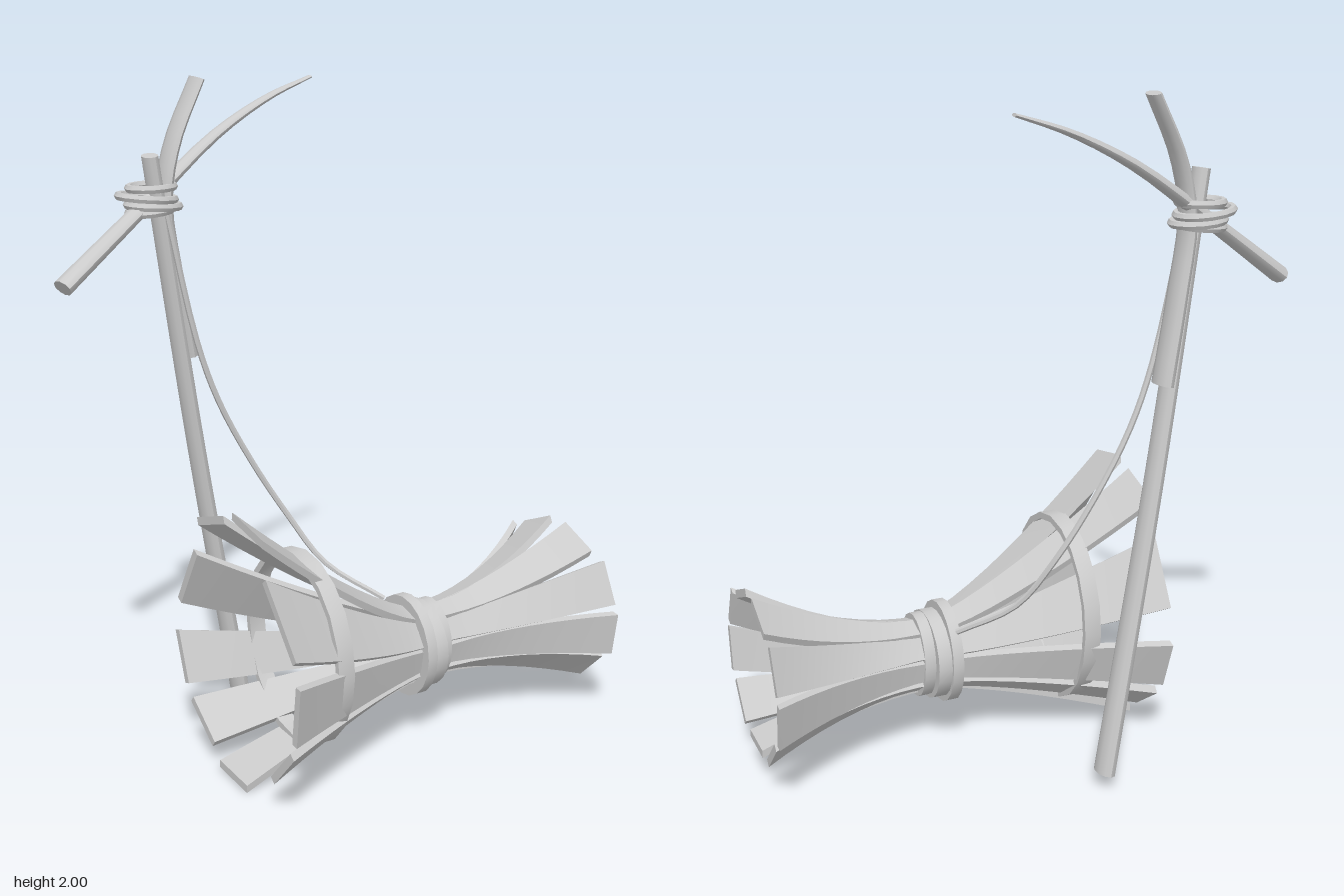
import * as THREE from 'three';
import { toCreasedNormals } from 'three/addons/utils/BufferGeometryUtils.js';

const V = (p) => new THREE.Vector3(...p);
const lerp = THREE.MathUtils.lerp;

export function createModel() {
  const model = new THREE.Group();
  const mat = new THREE.MeshStandardMaterial({ color: 0xcccccc });

  function add(name, geo, parent = model) {
    const mesh = new THREE.Mesh(toCreasedNormals(geo, 0.7), mat);
    mesh.name = name;
    parent.add(mesh);
    return mesh;
  }

  // Tapering limb along a curve; each radius pair is [along z, sideways]
  function limb(points, from, to, sides = 10, steps = 14) {
    const curve = new THREE.CatmullRomCurve3(points.map(V));
    const pos = [], idx = [];
    for (let i = 0; i <= steps; i++) {
      const t = i / steps, c = curve.getPoint(t), d = curve.getTangent(t);
      const a = V([0, 0, 1]).addScaledVector(d, -d.z).normalize();
      const b = d.clone().cross(a);
      for (let j = 0; j < sides; j++) {
        const w = (j / sides) * Math.PI * 2;
        const p = c.clone()
          .addScaledVector(a, Math.cos(w) * lerp(from[0], to[0], t))
          .addScaledVector(b, Math.sin(w) * lerp(from[1], to[1], t));
        pos.push(p.x, p.y, p.z);
        if (i < steps) {
          const k = i * sides, n = (j + 1) % sides;
          idx.push(k + j, k + n, k + sides + j, k + n, k + sides + n, k + sides + j);
        }
      }
    }
    // End caps
    const last = steps * sides;
    for (let j = 1; j < sides - 1; j++) {
      idx.push(0, j + 1, j, last, last + j, last + j + 1);
    }
    const geo = new THREE.BufferGeometry();
    geo.setAttribute('position', new THREE.Float32BufferAttribute(pos, 3));
    geo.setIndex(idx);
    geo.computeVertexNormals();
    return geo;
  }

  // Basket: nine slats flaring from a tied waist to a wide and a narrow mouth
  const basket = new THREE.Group();
  basket.name = 'basket';
  model.add(basket);
  const midZ = 0.09, waistX = 0.2, waistEnd = 0.27;
  // Slat ends at the wide mouth [z, y], from the bottom round by +z
  const wideEnds = [
    [0.066, 0.02], [0.345, 0.172], [0.422, 0.36], [0.338, 0.607], [0.172, 0.82],
    [-0.035, 0.785], [-0.188, 0.563], [-0.238, 0.285], [-0.115, 0.12],
  ];
  const wideWidths = [0.16, 0.16, 0.18, 0.24, 0.165, 0.165, 0.22, 0.165, 0.16];
  wideEnds.forEach(([wz, wy], k) => {
    const angle = THREE.MathUtils.degToRad(-90 + 40 * k);
    const ca = Math.cos(angle), sa = Math.sin(angle);
    const geo = new THREE.BoxGeometry(1, 1, 1, 20, 1, 1);
    const p = geo.attributes.position;
    for (let i = 0; i < p.count; i++) {
      const x = lerp(-0.43, 0.765, p.getX(i) + 0.5);
      let z = midZ + 0.085 * ca, y = 0.3 + 0.1 * sa, cy = 0.3, width = 0.066;
      if (x < waistX) {
        const u = (waistX - x) / 0.63, f = u ** 1.28;
        z = lerp(z, wz, f);
        y = lerp(y, wy, f);
        cy = lerp(cy, 0.4, f);
        width = lerp(width, wideWidths[k], u);
      } else if (x > waistEnd) {
        const u = (x - waistEnd) / 0.495, f = u ** 1.75;
        z = lerp(z, midZ + 0.28 * ca, f);
        y = lerp(y, 0.335 + 0.23 * sa, f);
        cy = lerp(cy, 0.335, f);
        width = lerp(width, 0.14, u);
      }
      const r = Math.hypot(y - cy, z - midZ);
      const ry = (y - cy) / r, rz = (z - midZ) / r;
      const out = p.getY(i) * 0.024, side = p.getZ(i) * width;
      p.setXYZ(i, x, y + ry * out - rz * side, z + rz * out + ry * side);
    }
    add('slat', geo, basket);
  });

  // Flat oval hoops: centre x, y, z, then radii in y and z, width and wall share
  function hoop(name, x, y, z, ry, rz, width, wall) {
    const h = width / 2, inner = 1 - wall;
    const profile = [[inner, -h], [1, -h], [1, h], [inner, h], [inner, -h]];
    const geo = new THREE.LatheGeometry(profile.map((q) => new THREE.Vector2(...q)), 20);
    geo.rotateZ(Math.PI / 2).scale(1, ry, rz).translate(x, y, z);
    add(name, geo, basket);
  }
  hoop('wideHoop', -0.213, 0.387, 0.085, 0.298, 0.258, 0.052, 0.07);
  hoop('waistBand', 0.172, 0.3, 0.088, 0.16, 0.14, 0.034, 0.22);
  hoop('waistBand', 0.211, 0.297, 0.09, 0.137, 0.135, 0.042, 0.22);
  hoop('waistBand', 0.248, 0.3, 0.09, 0.132, 0.107, 0.036, 0.2);

  // Rounded plug closing the waist
  const plug = new THREE.SphereGeometry(1, 20, 14);
  plug.scale(0.05, 0.095, 0.08).translate(0.22, 0.3, midZ);
  add('waistPlug', plug, basket);

  // Long pole, the splint tied to it and the curved cross branch
  add('pole', limb(
    [[-0.155, 0.05, -0.377], [-0.31, 0.9, -0.335], [-0.455, 1.79, -0.29]],
    [0.043, 0.028], [0.035, 0.022]));
  add('splint', limb(
    [[-0.335, 1.2, -0.328], [-0.38, 1.45, -0.315], [-0.41, 1.66, -0.303],
      [-0.38, 1.82, -0.297], [-0.3, 1.995, -0.292]],
    [0.047, 0.025], [0.042, 0.013]));
  add('crossBranch', limb(
    [[-0.757, 1.458, -0.235], [-0.46, 1.66, -0.3], [-0.2, 1.825, -0.375],
      [0, 1.92, -0.412], [0.16, 1.973, -0.43]],
    [0.036, 0.026], [0.011, 0.005]));

  // Lashing around the joint
  const lashings = [
    [-0.445, 1.7, 0.066, 0.02], [-0.46, 1.672, 0.082, -0.1],
    [-0.44, 1.648, 0.076, -0.06], [-0.45, 1.634, 0.064, 0.08],
  ];
  for (const [x, y, r, tilt] of lashings) {
    const ring = add('lashing', new THREE.TorusGeometry(r, 0.012, 6, 14).rotateX(Math.PI / 2));
    ring.position.set(x, y, -0.308);
    ring.rotation.z = tilt;
    ring.scale.z = 0.85;
  }

  // Cord hanging from the joint to the waist of the basket
  add('cord', limb(
    [[-0.42, 1.63, -0.265], [-0.335, 1.25, -0.268], [-0.27, 1.06, -0.264],
      [-0.17, 0.86, -0.25], [-0.06, 0.67, -0.217], [0.03, 0.52, -0.15], [0.17, 0.41, -0.03]],
    [0.009, 0.009], [0.009, 0.009], 6, 24));

  return model;
}
